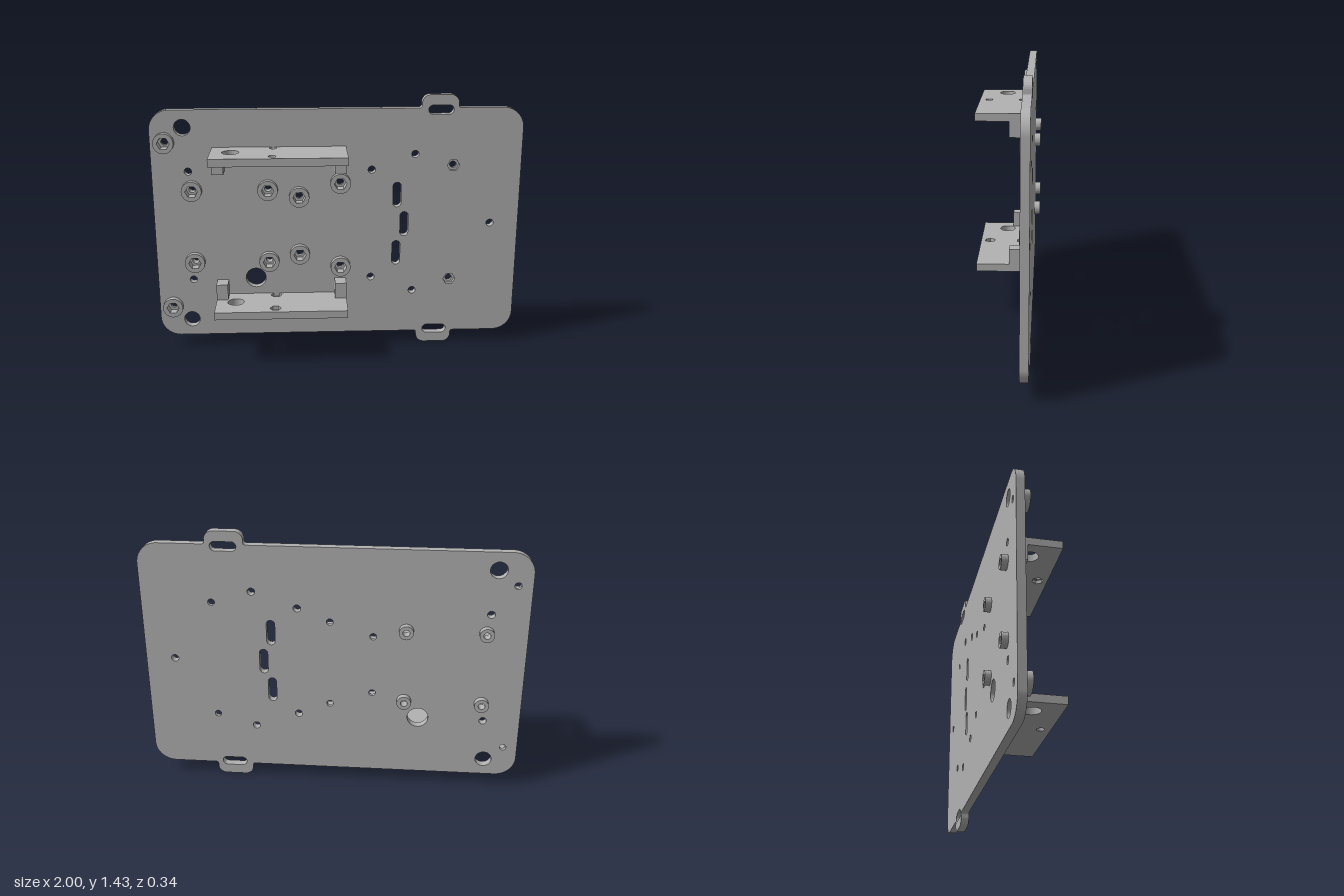
import * as THREE from 'three';
import { toCreasedNormals } from 'three/addons/utils/BufferGeometryUtils.js';

const grey = new THREE.MeshStandardMaterial({ color: 0xb2b2b2 });
grey.name = 'grey';

const MID = 0.715;                       // height of the horizontal mirror line
const FRONT = -0.096, BACK = -0.139;     // plate faces
const POCKET = -0.118;                   // floor of the hex nut pockets
const BORE = 0.018;

// Closed outline with a radius at every corner: points are [x, y, radius]
function rounded(points) {
  const s = new THREE.Shape(), n = points.length, k = 0.5523;
  points.forEach(([x, y, r], i) => {
    const toward = ([px, py], d) => {
      const l = Math.hypot(px - x, py - y);
      return [x + (px - x) / l * d, y + (py - y) / l * d];
    };
    const prev = points[(i + n - 1) % n], next = points[(i + 1) % n];
    const a = toward(prev, r), b = toward(next, r);
    if (i === 0) s.moveTo(...a); else s.lineTo(...a);
    s.bezierCurveTo(...toward(prev, r * (1 - k)), ...toward(next, r * (1 - k)), ...b);
  });
  s.closePath();
  return s;
}

function circle(x, y, r) {
  return new THREE.Shape().absarc(x, y, r, 0, Math.PI * 2, false);
}

function hex(x, y, r) {
  const pts = [];
  for (let i = 0; i < 6; i++) {
    const a = i * Math.PI / 3;
    pts.push(new THREE.Vector2(x + r * Math.cos(a), y + r * Math.sin(a)));
  }
  return new THREE.Shape(pts);
}

// Slot with round ends, w by h
function slot(x, y, w, h) {
  const s = new THREE.Shape(), r = Math.min(w, h) / 2;
  if (h > w) {
    const d = h / 2 - r;
    s.absarc(x, y + d, r, 0, Math.PI, false);
    s.absarc(x, y - d, r, Math.PI, Math.PI * 2, false);
  } else {
    const d = w / 2 - r;
    s.absarc(x + d, y, r, -Math.PI / 2, Math.PI / 2, false);
    s.absarc(x - d, y, r, Math.PI / 2, Math.PI * 1.5, false);
  }
  s.closePath();
  return s;
}

// Solid from z0 to z1, with creased normals so bores stay smooth
function slab(outline, holes, z0, z1) {
  const s = outline.clone();
  s.holes = holes;
  const g = new THREE.ExtrudeGeometry(s, { depth: z1 - z0, bevelEnabled: false, curveSegments: 16 });
  g.translate(0, 0, z0);
  return toCreasedNormals(g, 0.6);
}

function add(parent, name, geometry) {
  const m = new THREE.Mesh(geometry, grey);
  m.name = name;
  parent.add(m);
  return m;
}

const mirrored = list => list.flatMap(([x, y, ...rest]) => [[x, y, ...rest], [x, 2 * MID - y, ...rest]]);

export function createModel() {
  const model = new THREE.Group();
  model.name = 'mountingPlate';

  const bosses = mirrored([[-0.925, 1.185], [-0.79, 0.92], [-0.38, 0.92], [-0.21, 0.88], [0.015, 0.955]]);
  const nuts = [...bosses, ...mirrored([[0.63, 1.045]])];

  // Plate with two strap tabs
  const top = 1.36, low = 0.07;
  const outline = rounded([
    [-1, low, 0.11], [0.45, low, 0.012], [0.45, 0, 0.045], [0.648, 0, 0.045], [0.648, low, 0.012],
    [1, low, 0.11], [1, top, 0.11],
    [0.648, top, 0.012], [0.648, 1.43, 0.045], [0.45, 1.43, 0.045], [0.45, top, 0.012], [-1, top, 0.11],
  ]);
  const through = [
    ...mirrored([[-0.825, 1.265, 0.044], [-0.805, 1.025, 0.02], [0.185, 1.025, 0.02], [0.42, 1.11, 0.02]])
      .map(h => circle(...h)),
    circle(0.845, MID, 0.02),
    circle(-0.457, 0.41, 0.056),
    slot(0.325, 0.883, 0.045, 0.14),
    slot(0.367, MID, 0.045, 0.14),
    slot(0.325, 0.547, 0.045, 0.14),
    slot(0.553, 1.35, 0.135, 0.05),
    slot(0.553, 0.08, 0.135, 0.05),
  ];
  const plate = new THREE.Group();
  plate.name = 'plate';
  model.add(plate);
  add(plate, 'plateFront', slab(outline, [...through, ...nuts.map(([x, y]) => hex(x, y, 0.034))], POCKET, FRONT));
  add(plate, 'plateBack', slab(outline, [...through, ...nuts.map(([x, y]) => circle(x, y, BORE))], BACK, POCKET));

  // Nut bosses on the front
  for (const [x, y] of bosses) {
    add(model, 'nutBoss', slab(circle(x, y, 0.055), [hex(x, y, 0.034)], FRONT, -0.064));
  }

  // Spacers on the back
  for (const [x, y] of mirrored([[-0.79, 0.92], [-0.38, 0.92]])) {
    add(model, 'backSpacer', slab(circle(x, y, 0.038), [circle(x, y, BORE)], -0.171, BACK));
  }

  // Shelf brackets: hex pockets on the inner side, round bores on the outer side
  const x0 = -0.672, x1 = 0.045, zFront = 0.172;
  const shelf = new THREE.Shape([[x0, -zFront], [x1, -zFront], [x1, -FRONT], [x0, -FRONT]]
    .map(p => new THREE.Vector2(...p)));
  const cable = circle(-0.565, -0.025, 0.045);
  const screws = [[-0.345, 0.068], [-0.345, -0.12]];
  for (const side of [1, -1]) {
    const bracket = new THREE.Group();
    bracket.name = side > 0 ? 'upperBracket' : 'lowerBracket';
    model.add(bracket);
    const layer = (name, holes, a, b) => {
      const ys = [MID + side * a, MID + side * b].sort((p, q) => p - q);
      add(bracket, name, slab(shelf, [cable, ...holes], ...ys).rotateX(-Math.PI / 2));
    };
    layer('shelfInner', screws.map(([x, y]) => hex(x, y, 0.031)), 0.4, 0.42);
    layer('shelfOuter', screws.map(([x, y]) => circle(x, y, 0.02)), 0.42, 0.442);

    // Feet at both ends
    for (const x of [x0 + 0.0315, x1 - 0.0315]) {
      const foot = add(bracket, 'foot', new THREE.BoxGeometry(0.063, 0.087, 0.088));
      foot.position.set(x, MID + side * 0.3565, FRONT + 0.044);
    }
  }
  return model;
}
